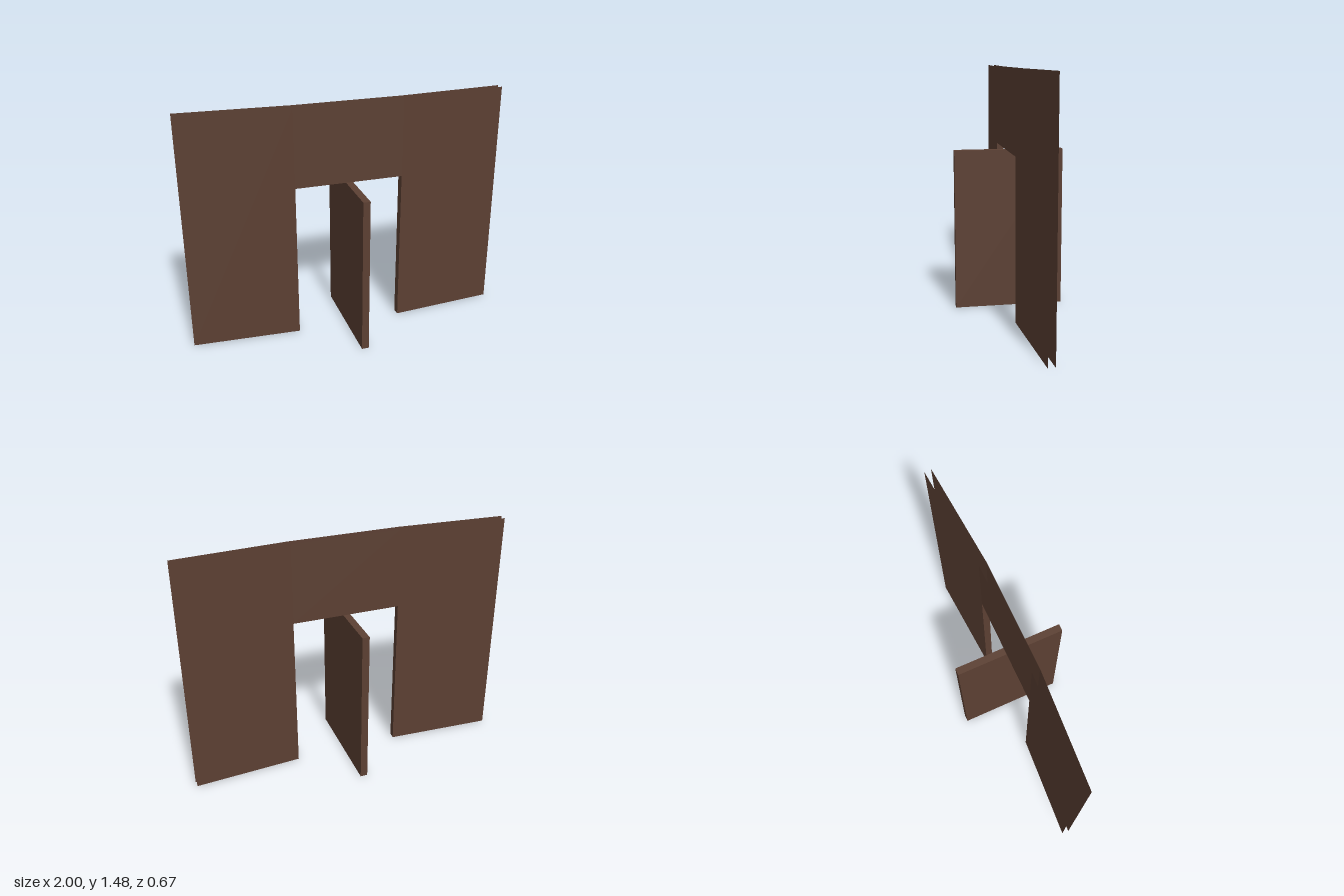
import * as THREE from 'three';

const TOP = 1.475, DOOR = 0.983;

// Wall plan, left to right: three facets bowed gently backwards at the ends
const front = [[-1, -0.026], [-0.335, 0.018], [0.335, 0.018], [1, -0.026]];
const back = [[-0.997, -0.068], [-0.332, -0.027], [0.332, -0.027], [0.997, -0.068]];

// Flat four-cornered sheet, corners anticlockwise as seen from its front
function sheet(name, corners, material) {
  const [a, b, c, d] = corners;
  const geometry = new THREE.BufferGeometry();
  geometry.setAttribute('position', new THREE.Float32BufferAttribute([a, b, c, a, c, d].flat(), 3));
  geometry.computeVertexNormals();
  const mesh = new THREE.Mesh(geometry, material);
  mesh.name = name;
  return mesh;
}

// Upright sheet between two plan points
function upright(name, p, q, low, high, material) {
  return sheet(name, [
    [p[0], low, p[1]], [q[0], low, q[1]], [q[0], high, q[1]], [p[0], high, p[1]],
  ], material);
}

export function createModel() {
  const model = new THREE.Group();
  model.name = 'doorway';
  const wood = new THREE.MeshStandardMaterial({ color: 0x5c4033, side: THREE.DoubleSide });
  wood.name = 'dark brown wood';

  // Wall skins: two full-height wings and the lintel, open at top, bottom and ends
  const wall = new THREE.Group();
  wall.name = 'wall';
  ['rightWing', 'lintel', 'leftWing'].forEach((part, i) => {
    const low = part === 'lintel' ? DOOR : 0;
    wall.add(upright(part + 'Front', front[i], front[i + 1], low, TOP, wood));
    wall.add(upright(part + 'Back', back[i + 1], back[i], low, TOP, wood));
  });

  // Lining of the opening
  wall.add(upright('rightJamb', front[1], back[1], 0, DOOR, wood));
  wall.add(upright('leftJamb', back[2], front[2], 0, DOOR, wood));
  wall.add(sheet('lintelUnderside', [back[1], back[2], front[2], front[1]]
    .map(([x, z]) => [x, DOOR, z]), wood));
  model.add(wall);

  // Door leaf, turned a quarter about its middle
  const door = new THREE.Mesh(new THREE.BoxGeometry(0.044, DOOR, 0.667), wood);
  door.name = 'door';
  door.position.y = DOOR / 2;
  model.add(door);

  return model;
}
